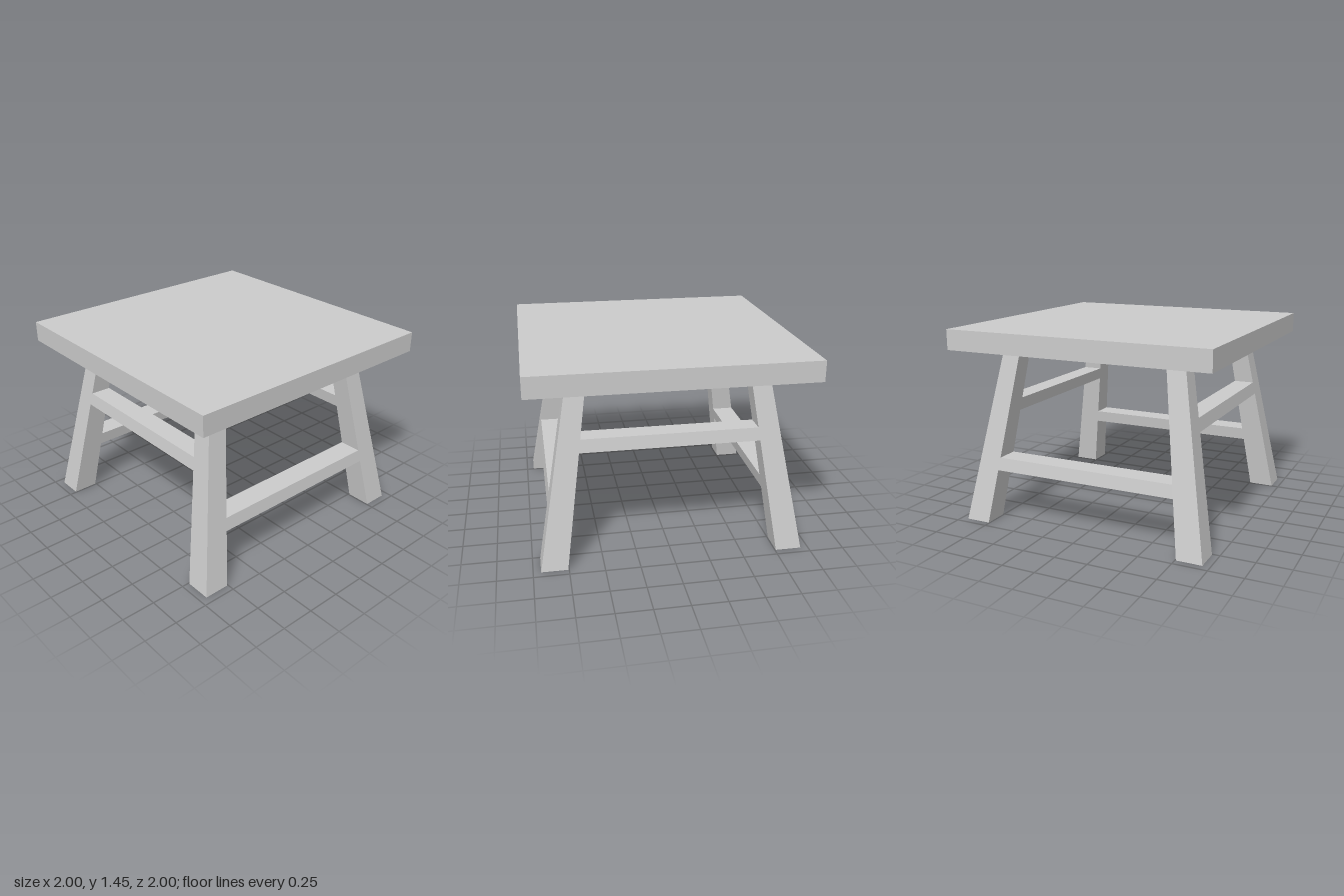
import * as THREE from 'three';

const LEG_TOP = 1.3;
const TOP_THICKNESS = 0.15;

// Distance of the legs' inner and outer faces from the centre at height y
const inner = (y) => THREE.MathUtils.lerp(0.757, 0.573, y / LEG_TOP);
const outer = (y) => THREE.MathUtils.lerp(0.945, 0.711, y / LEG_TOP);

// Box from y0 to y1 whose x and z ranges depend on height
function taperedBox(y0, y1, xRange, zRange) {
  const geometry = new THREE.BoxGeometry(1, 1, 1);
  const p = geometry.attributes.position;
  for (let i = 0; i < p.count; i++) {
    const y = p.getY(i) < 0 ? y0 : y1;
    const x = xRange(y)[p.getX(i) < 0 ? 0 : 1];
    const z = zRange(y)[p.getZ(i) < 0 ? 0 : 1];
    p.setXYZ(i, x, y, z);
  }
  geometry.computeVertexNormals();
  return geometry;
}

export function createModel() {
  const group = new THREE.Group();
  const material = new THREE.MeshStandardMaterial({ color: 0xcccccc, flatShading: true });
  const add = (name, geometry) => {
    const mesh = new THREE.Mesh(geometry, material);
    mesh.name = name;
    group.add(mesh);
    return mesh;
  };

  // Range across a leg on the given side, and across the gap between legs
  const leg = (side) => (y) => (side > 0 ? [inner(y), outer(y)] : [-outer(y), -inner(y)]);
  const gap = (y) => [-inner(y), inner(y)];

  // Square slab top
  add('tabletop', new THREE.BoxGeometry(2, TOP_THICKNESS, 2)).position.y = LEG_TOP + TOP_THICKNESS / 2;

  // Four splayed, tapered legs
  for (const sx of [-1, 1]) {
    for (const sz of [-1, 1]) {
      add(`${sz > 0 ? 'front' : 'back'}${sx > 0 ? 'Left' : 'Right'}Leg`,
        taperedBox(0, LEG_TOP, leg(sx), leg(sz)));
    }
  }

  // High rails at front and back, low rails at the sides, flush with the legs
  for (const side of [-1, 1]) {
    add(side > 0 ? 'frontRail' : 'backRail', taperedBox(0.817, 0.911, gap, leg(side)));
    add(side > 0 ? 'leftRail' : 'rightRail', taperedBox(0.4, 0.495, leg(side), gap));
  }

  return group;
}
